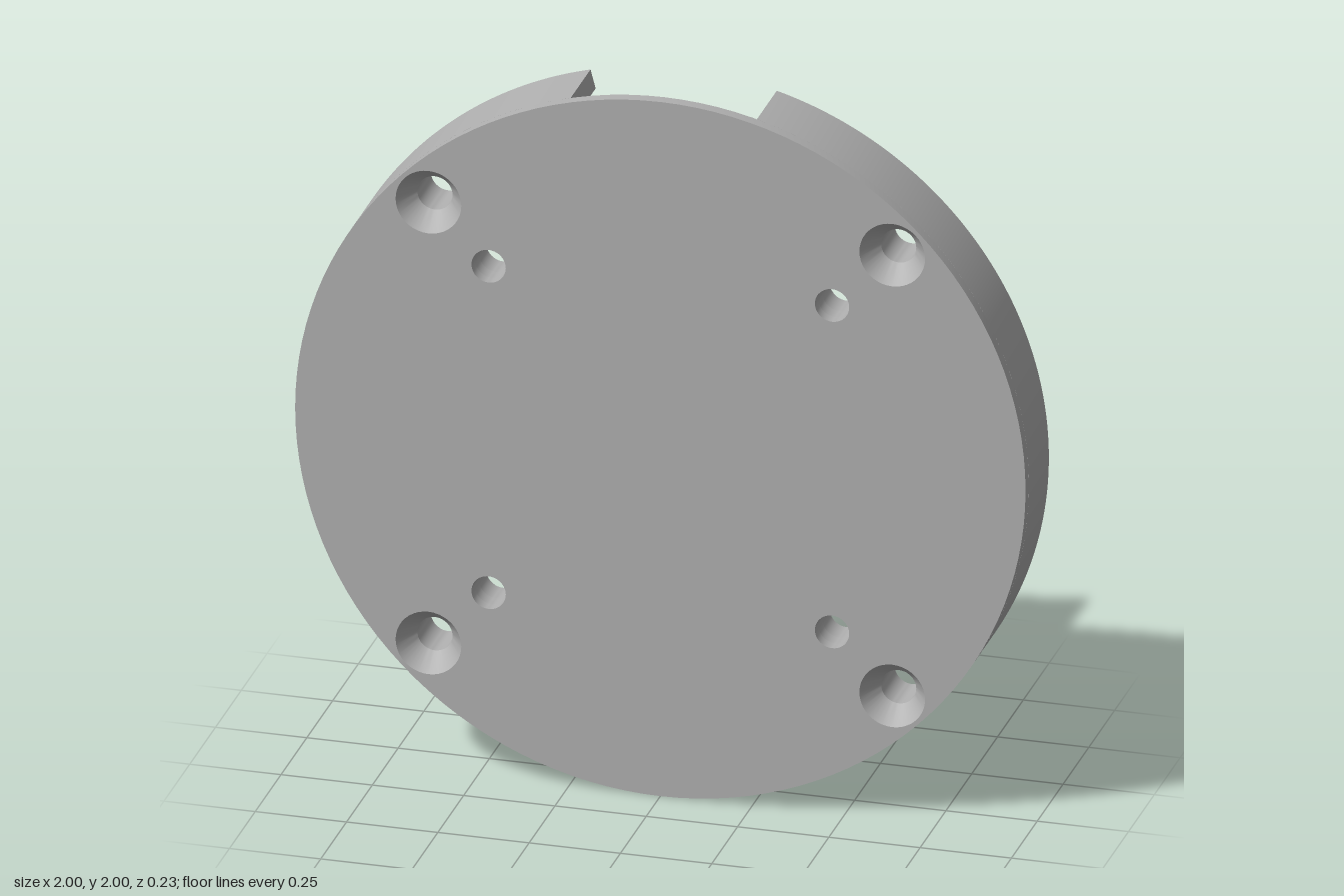
import * as THREE from 'three';
import { toCreasedNormals } from 'three/addons/utils/BufferGeometryUtils.js';

const FRONT = 0.113, FLOOR = 0.08, RIB = 0.04, PAD = -0.03, BACK = -0.113;
const SCREW = 0.898, PIN = 0.665;      // hole distances from the centre, on the diagonals
const RIB_W = 0.09, FILLET = 0.06;
const DIAGONALS = [0, 1, 2, 3].map((k) => Math.PI / 4 + k * Math.PI / 2);

const polar = (r, a) => new THREE.Vector2(r * Math.cos(a), r * Math.sin(a));
const arc = (cx, cy, r, a0, a1, n) => Array.from({ length: n + 1 }, (_, i) =>
  polar(r, a0 + (a1 - a0) * i / n).add(new THREE.Vector2(cx, cy)));
const turn = (points, a) => points.map((p) => p.clone().rotateAround(new THREE.Vector2(), a));
const hole = (r, d, a) => new THREE.Path(arc(d * Math.cos(a), d * Math.sin(a), r, 0, -Math.PI * 2, 40).slice(0, -1));

// inner edge of the rim, swelling smoothly into a boss at each diagonal
function innerRadius(a) {
  const off = Math.min(...DIAGONALS.map((d) => Math.abs(Math.atan2(Math.sin(a - d), Math.cos(a - d)))));
  return 0.785 + 0.16 * THREE.MathUtils.smoothstep(off, 0.03, 0.19);
}

function rimShape(a0, a1, holes) {
  const n = Math.max(8, Math.round((a1 - a0) * 50));
  const angles = Array.from({ length: n + 1 }, (_, i) => a0 + (a1 - a0) * i / n);
  const shape = new THREE.Shape([
    ...angles.map((a) => polar(1, a)),
    ...angles.reverse().map((a) => polar(innerRadius(a), a)),
  ]);
  shape.holes = holes.map((a) => hole(0.075, SCREW, a));
  return shape;
}

export function createModel() {
  const model = new THREE.Group();
  model.name = 'roundCover';
  const body = new THREE.Group();
  body.name = 'body';
  body.position.y = 1;
  model.add(body);
  const grey = new THREE.MeshStandardMaterial({ color: 0xb0b0b0 });
  grey.name = 'grey';
  grey.side = THREE.DoubleSide;

  const add = (name, geometry) => {
    const mesh = new THREE.Mesh(toCreasedNormals(geometry, 0.5), grey);
    mesh.name = name;
    body.add(mesh);
  };
  const slab = (name, shape, z0, z1) => {
    const g = new THREE.ExtrudeGeometry(shape, { depth: z1 - z0, bevelEnabled: false, curveSegments: 24 });
    add(name, g.translate(0, 0, z0));
  };

  // front plate
  const plate = new THREE.Shape(arc(0, 0, 1, 0, Math.PI * 2, 128).slice(0, -1));
  for (const a of DIAGONALS) plate.holes.push(hole(0.09, SCREW, a), hole(0.047, PIN, a));
  slab('frontPlate', plate, FLOOR, FRONT);

  // rim walls, open at top, bottom and the right side
  const end = Math.acos(0.255), side = Math.asin(0.15);
  const [d0, d1, d2, d3] = DIAGONALS;
  slab('leftRim', rimShape(-end, end, [d0, d3]), BACK, FLOOR);
  slab('upperRightRim', rimShape(Math.PI - end, Math.PI - side, [d1]), BACK, FLOOR);
  slab('lowerRightRim', rimShape(Math.PI + side, Math.PI + end, [d2]), BACK, FLOOR);
  slab('sideNotchSill', rimShape(Math.PI - side, Math.PI + side, []), 0.05, FLOOR);

  // crossed ribs with filleted inner corners; arms end against the bosses
  const armEnd = [
    new THREE.Vector2(SCREW, -RIB_W),
    ...arc(SCREW, 0, 0.08, Math.PI * 1.5, Math.PI * 0.5, 20),
    new THREE.Vector2(SCREW, RIB_W),
  ];
  const corner = arc(RIB_W + FILLET, RIB_W + FILLET, FILLET, Math.PI * 1.5, Math.PI, 8);
  const cross = new THREE.Shape(DIAGONALS.flatMap((a) => turn([...armEnd, ...corner], a)));
  cross.holes = DIAGONALS.map((a) => hole(0.047, PIN, a));
  slab('crossRibs', cross, RIB, FLOOR);

  // raised pads around the small holes, and lined screw holes
  for (const a of DIAGONALS) {
    const pad = new THREE.Shape(turn([...armEnd, ...arc(PIN, 0, RIB_W, Math.PI / 2, Math.PI * 1.5, 20)], a));
    pad.holes.push(hole(0.047, PIN, a));
    slab('holePad', pad, PAD, RIB);

    const profile = [[0.09, FRONT], [0.048, 0.05], [0.048, -0.08], [0.075, -0.08], [0.075, BACK]]
      .map(([r, z]) => new THREE.Vector2(r, z));
    const lining = new THREE.LatheGeometry(profile, 40).rotateX(Math.PI / 2);
    const c = polar(SCREW, a);
    add('screwHole', lining.translate(c.x, c.y, 0));
  }

  // raised block on the left, rounded toward the centre
  const x0 = 0.23, x1 = 0.56, h = 0.34, r = 0.04;
  slab('raisedBlock', new THREE.Shape([
    new THREE.Vector2(x1, -h), new THREE.Vector2(x1, h),
    ...arc(x0 + r, h - r, r, Math.PI / 2, Math.PI, 8),
    ...arc(x0 + r, r - h, r, Math.PI, Math.PI * 1.5, 8),
  ]), -0.04, FLOOR);

  return model;
}
